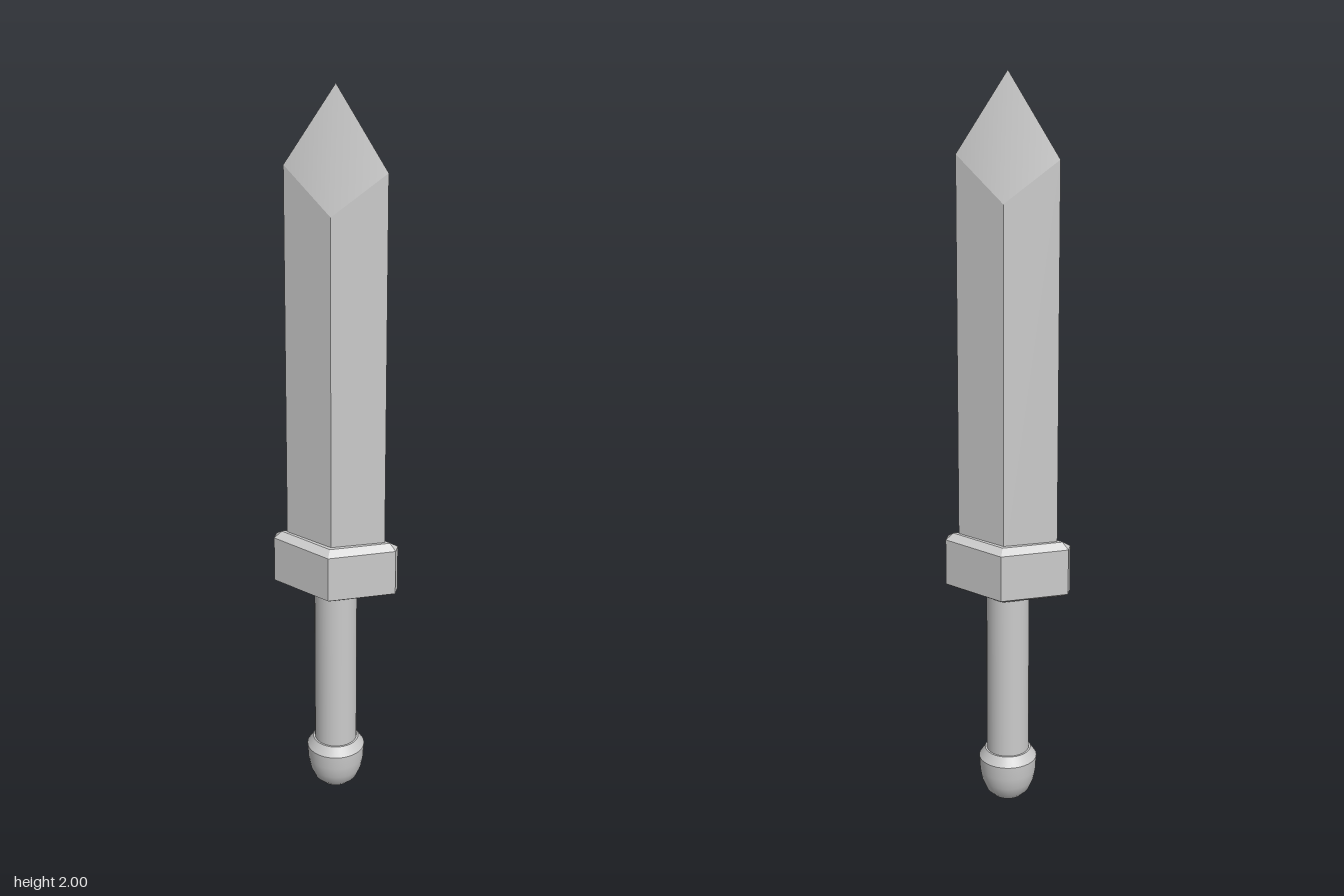
import * as THREE from 'three';

const material = new THREE.MeshStandardMaterial({ color: 0xcccccc });
const flatMaterial = new THREE.MeshStandardMaterial({ color: 0xcccccc, flatShading: true });

// Joins stacked rings of [x, y, z] points (counter-clockwise from above) and caps both ends.
function loft(rings) {
  const n = rings[0].length;
  const index = [];
  for (let r = 0; r < rings.length - 1; r++) {
    for (let i = 0; i < n; i++) {
      const a = r * n + i, b = r * n + (i + 1) % n;
      index.push(a, b, b + n, a, b + n, a + n);
    }
  }
  const top = (rings.length - 1) * n;
  for (let i = 1; i < n - 1; i++) {
    index.push(0, i + 1, i, top, top + i, top + i + 1);
  }
  return indexed(rings.flat(2), index);
}

function indexed(positions, index) {
  const geometry = new THREE.BufferGeometry();
  geometry.setAttribute('position', new THREE.Float32BufferAttribute(positions, 3));
  geometry.setIndex(index);
  geometry.computeVertexNormals();
  return geometry;
}

// Diamond outline whose side points are cut to a blunt end of half-width e.
const diamond = (y, x, z, e) => [
  [x, y, -e], [0, y, -z], [-x, y, -e], [-x, y, e], [0, y, z], [x, y, e],
];

function lathe(points) {
  return new THREE.LatheGeometry(points.map(([r, y]) => new THREE.Vector2(r, y)), 32);
}

export function createModel() {
  const model = new THREE.Group();
  const add = (name, geometry, mat = material, parent = model) => {
    const mesh = new THREE.Mesh(geometry, mat);
    mesh.name = name;
    parent.add(mesh);
    return mesh;
  };

  // Blade: diamond section, with the ridges ending lower than the cutting edges
  const w = 0.13, d = 0.057, edgeY = 1.785, ridgeY = 1.682;
  const section = (ey, ry) => [[0, ry, -d], [-w, ey, 0], [0, ry, d], [w, ey, 0]];
  add('blade', loft([section(0.7, 0.7), section(edgeY, ridgeY)]), flatMaterial);

  // Point: one softly shaded face on the front, mirrored by rotation to the back
  const point = new THREE.Group();
  point.name = 'bladePoint';
  model.add(point);
  for (const [name, turn] of [['pointFront', 0], ['pointBack', Math.PI]]) {
    const face = indexed(
      [0, 2, 0, -w, edgeY, 0, 0, ridgeY, d, w, edgeY, 0],
      [0, 1, 2, 0, 2, 3]
    );
    add(name, face, material, point).rotation.y = turn;
  }

  // Guard: blunt diamond block, chamfered above and below
  add('guard', loft([
    diamond(0.615, 0.144, 0.068, 0.001),
    diamond(0.628, 0.162, 0.09, 0.014),
    diamond(0.755, 0.162, 0.09, 0.014),
    diamond(0.77, 0.144, 0.068, 0.001),
  ]), flatMaterial);

  // Grip
  const grip = add('grip', new THREE.CylinderGeometry(0.056, 0.056, 0.5, 32));
  grip.position.y = 0.38;

  // Pommel: rounded base, sloping shoulder and a narrow flat top
  const pommel = new THREE.Group();
  pommel.name = 'pommel';
  model.add(pommel);
  add('pommelBase', lathe([
    [0, 0], [0.02, 0.004], [0.04, 0.013], [0.057, 0.03],
    [0.069, 0.058], [0.075, 0.09], [0.077, 0.128],
  ]), material, pommel);
  add('pommelShoulder', lathe([[0.077, 0.128], [0.061, 0.153]]), material, pommel);
  add('pommelTop', lathe([[0.061, 0.153], [0.05, 0.153]]), material, pommel);

  return model;
}
